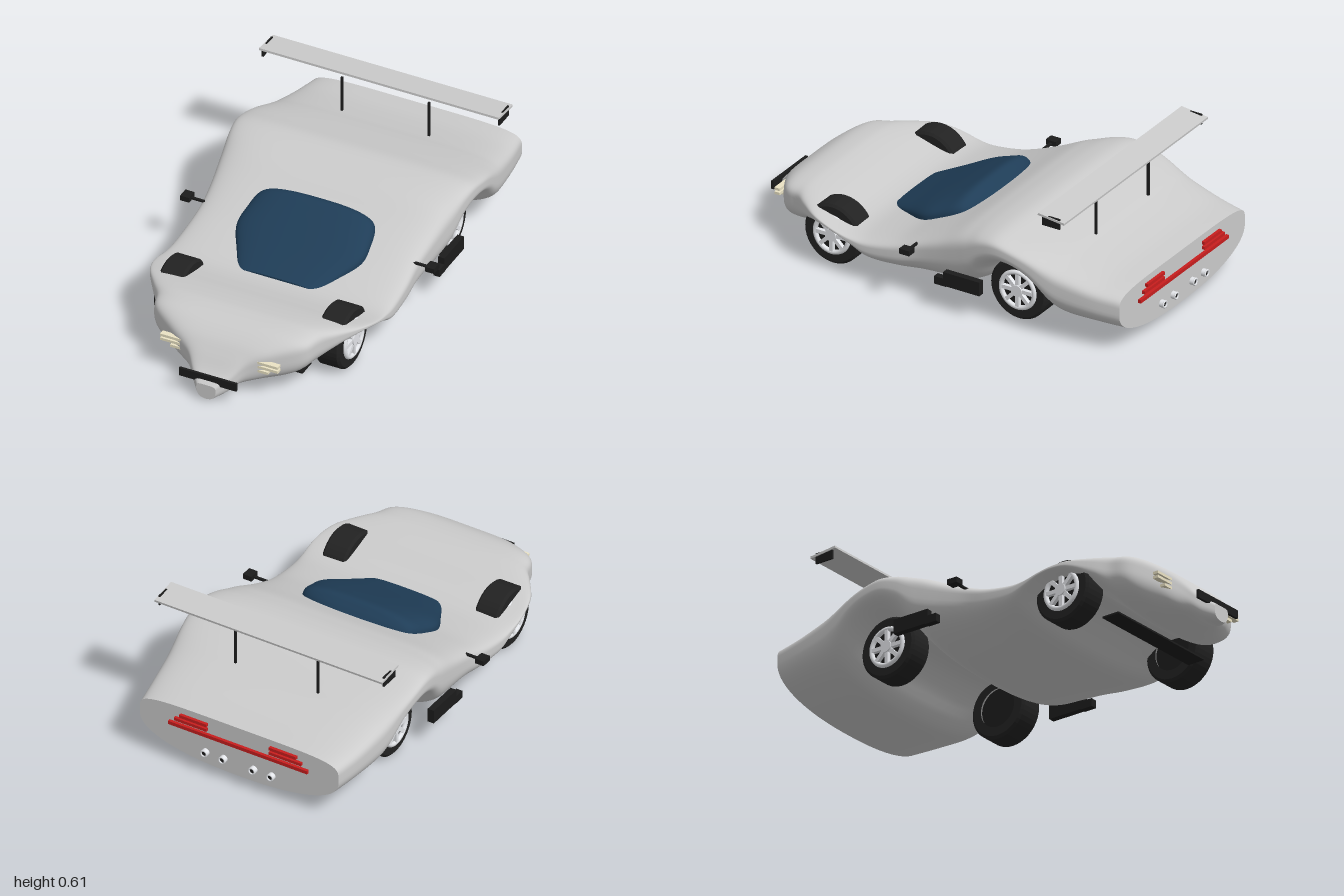
import * as THREE from 'three';

const mat = (color) => new THREE.MeshStandardMaterial({ color });
const GREY = mat(0xcccccc), BLACK = mat(0x1c1c1c), TYRE = mat(0x222222), RIM = mat(0xe4e6ea);
const GLASS = mat(0x1f3d57), RED = mat(0xc81e1e), CREAM = mat(0xeae2c4);

function add(parent, name, geometry, material, x = 0, y = 0, z = 0) {
  const mesh = new THREE.Mesh(geometry, material);
  mesh.name = name;
  mesh.position.set(x, y, z);
  parent.add(mesh);
  return mesh;
}

const box = (parent, name, material, [w, h, d], [x, y, z]) =>
  add(parent, name, new THREE.BoxGeometry(w, h, d), material, x, y, z);

// Smooth loft through stations [z, halfWidth, bottom, top], running from front to back.
// Each section is a superellipse with its own exponent above and below the waist.
function loft(stations, { steps, segments = 64, waist, upper, lower }) {
  const widths = new THREE.CatmullRomCurve3(stations.map(([z, w]) => new THREE.Vector3(z, w, 0)), false, 'catmullrom', 0.5);
  const heights = new THREE.CatmullRomCurve3(stations.map(([z, , b, t]) => new THREE.Vector3(z, b, t)), false, 'catmullrom', 0.5);
  const power = (v, n) => Math.sign(v) * Math.abs(v) ** (2 / n);
  const pos = [], index = [];
  const ring = (t) => {
    const { x: z, y: w } = widths.getPoint(t);
    const { y: bottom, z: top } = heights.getPoint(t);
    const mid = bottom + (top - bottom) * waist;
    for (let j = 0; j < segments; j++) {
      const a = (j / segments) * Math.PI * 2, s = Math.sin(a);
      const n = s >= 0 ? upper : lower;
      pos.push(w * power(Math.cos(a), n), mid + (s >= 0 ? top - mid : mid - bottom) * power(s, n), z);
    }
    return [0, mid, z];
  };
  for (let i = 0; i <= steps; i++) ring(i / steps);
  for (let i = 0; i < steps; i++) {
    for (let j = 0; j < segments; j++) {
      const k = (j + 1) % segments;
      const a = i * segments + j, b = i * segments + k;
      index.push(a, a + segments, b, b, a + segments, b + segments);
    }
  }
  // flat end caps with their own vertices, so the edge stays sharp
  for (const t of [0, 1]) {
    const start = pos.length / 3;
    pos.push(...ring(t));
    const centre = start + segments;
    for (let j = 0; j < segments; j++) {
      const a = start + j, b = start + ((j + 1) % segments);
      if (t === 0) index.push(centre, a, b);
      else index.push(centre, b, a);
    }
  }
  const geometry = new THREE.BufferGeometry();
  geometry.setAttribute('position', new THREE.Float32BufferAttribute(pos, 3));
  geometry.setIndex(index);
  geometry.computeVertexNormals();
  return geometry;
}

// Wheel with its axle along x and its face towards +x
function makeWheel() {
  const wheel = new THREE.Group();
  const tyre = [[0.088, -0.058], [0.128, -0.058], [0.139, -0.048], [0.139, 0.048], [0.128, 0.058], [0.088, 0.058]];
  const lathe = (points) => new THREE.LatheGeometry(points.map(([r, y]) => new THREE.Vector2(r, y)), 40).rotateZ(-Math.PI / 2);
  add(wheel, 'tyre', lathe(tyre), TYRE).geometry = lathe(tyre).toNonIndexed();
  wheel.children[0].geometry.computeVertexNormals();
  const disc = (r, d) => new THREE.CylinderGeometry(r, r, d, 32).rotateZ(Math.PI / 2);
  add(wheel, 'wheelBack', disc(0.09, 0.095), BLACK);
  add(wheel, 'rimRing', new THREE.TorusGeometry(0.082, 0.011, 10, 40).rotateY(Math.PI / 2), RIM, 0.058);
  add(wheel, 'hub', disc(0.027, 0.03), RIM, 0.057);
  for (let i = 0; i < 8; i++) {
    const spoke = new THREE.BoxGeometry(0.018, 0.066, 0.018).translate(0, 0.05, 0).rotateX((i * Math.PI) / 4);
    add(wheel, 'spoke', spoke, RIM, 0.058);
  }
  return wheel;
}

export function createModel() {
  const car = new THREE.Group();
  car.name = 'racingCar';

  // Body shell: the underside lifts over both axles
  const body = [
    [1.0, 0.045, 0.015, 0.085], [0.95, 0.09, 0.02, 0.125], [0.9, 0.14, 0.04, 0.185],
    [0.85, 0.24, 0.05, 0.235], [0.78, 0.35, 0.05, 0.273], [0.7, 0.385, 0.06, 0.283],
    [0.64, 0.43, 0.11, 0.277], [0.56, 0.485, 0.175, 0.26], [0.49, 0.51, 0.195, 0.24],
    [0.42, 0.52, 0.18, 0.222], [0.35, 0.52, 0.13, 0.214], [0.27, 0.52, 0.065, 0.222],
    [0.14, 0.515, 0.05, 0.25], [0.03, 0.51, 0.05, 0.292], [-0.08, 0.52, 0.05, 0.34],
    [-0.18, 0.535, 0.055, 0.388], [-0.24, 0.545, 0.09, 0.408], [-0.31, 0.555, 0.19, 0.424],
    [-0.39, 0.563, 0.245, 0.429], [-0.48, 0.562, 0.245, 0.408], [-0.56, 0.555, 0.19, 0.387],
    [-0.64, 0.545, 0.085, 0.364], [-0.71, 0.535, 0.05, 0.342], [-0.85, 0.515, 0.05, 0.308],
    [-0.975, 0.493, 0.048, 0.293],
  ];
  add(car, 'body', loft(body, { steps: 120, segments: 96, waist: 0.62, upper: 5, lower: 2.3 }), GREY);

  // Canopy
  const canopy = [
    [0.345, 0.18, 0.17, 0.222], [0.24, 0.238, 0.18, 0.268], [0.13, 0.295, 0.19, 0.32],
    [0.04, 0.293, 0.2, 0.361], [-0.03, 0.278, 0.22, 0.387], [-0.07, 0.245, 0.24, 0.37],
    [-0.1, 0.15, 0.26, 0.345],
  ];
  add(car, 'canopy', loft(canopy, { steps: 36, waist: 0.5, upper: 2.8, lower: 4 }), GLASS);

  // Nose plate and splitter
  box(car, 'nosePlate', BLACK, [0.27, 0.038, 0.012], [0, 0.102, 0.978]);
  box(car, 'splitter', BLACK, [0.59, 0.008, 0.085], [0, 0.04, 0.64]);

  // Wing blade, leading edge slightly raised
  box(car, 'wingBlade', GREY, [1.128, 0.01, 0.132], [0, 0.607, -0.68]).rotation.x = -0.11;

  // Tail light bar
  box(car, 'tailLightBar', RED, [0.69, 0.016, 0.016], [0, 0.203, -0.981]);

  // Parts that repeat on both sides
  for (const side of [1, -1]) {
    for (const [axle, z] of [['front', 0.49], ['rear', -0.435]]) {
      const wheel = makeWheel();
      wheel.name = axle + (side > 0 ? 'LeftWheel' : 'RightWheel');
      wheel.position.set(side * 0.379, 0.144, z);
      if (side < 0) wheel.rotation.y = Math.PI;
      car.add(wheel);
    }

    // headlight strips
    box(car, 'headlightStrip', CREAM, [0.142, 0.012, 0.026], [side * 0.206, 0.179, 0.865]);
    box(car, 'headlightStrip', CREAM, [0.142, 0.012, 0.026], [side * 0.206, 0.159, 0.865]);
    box(car, 'headlightStrip', CREAM, [0.095, 0.012, 0.026], [side * 0.183, 0.138, 0.865]);

    // mirrors
    box(car, 'mirrorStalk', BLACK, [0.09, 0.008, 0.012], [side * 0.52, 0.259, 0.03]);
    box(car, 'mirrorHead', BLACK, [0.042, 0.024, 0.05], [side * 0.576, 0.261, 0.03]);

    // side intakes
    box(car, 'sideIntake', BLACK, [0.03, 0.065, 0.18], [side * 0.536, 0.162, -0.225]);
    box(car, 'sideIntakeLip', BLACK, [0.03, 0.036, 0.06], [side * 0.536, 0.145, -0.12]);

    // wing supports and end plates
    box(car, 'wingStrut', BLACK, [0.009, 0.17, 0.01], [side * 0.205, 0.46, -0.677]);
    box(car, 'wingEndPlate', BLACK, [0.008, 0.048, 0.088], [side * 0.556, 0.59, -0.677]);

    // upper tail lights
    box(car, 'tailLight', RED, [0.16, 0.014, 0.022], [side * 0.235, 0.232, -0.978]);
    box(car, 'tailLight', RED, [0.135, 0.014, 0.022], [side * 0.222, 0.255, -0.978]);

    // exhausts
    for (const x of [0.074, 0.164]) {
      add(car, 'exhaustPipe', new THREE.CylinderGeometry(0.017, 0.017, 0.04, 20, 1, true).rotateX(Math.PI / 2), RIM, side * x, 0.112, -0.974);
      add(car, 'exhaustRim', new THREE.TorusGeometry(0.014, 0.004, 8, 20), RIM, side * x, 0.112, -0.994);
      add(car, 'exhaustBore', new THREE.CircleGeometry(0.014, 20).rotateY(Math.PI), BLACK, side * x, 0.112, -0.99);
    }
  }
  return car;
}
